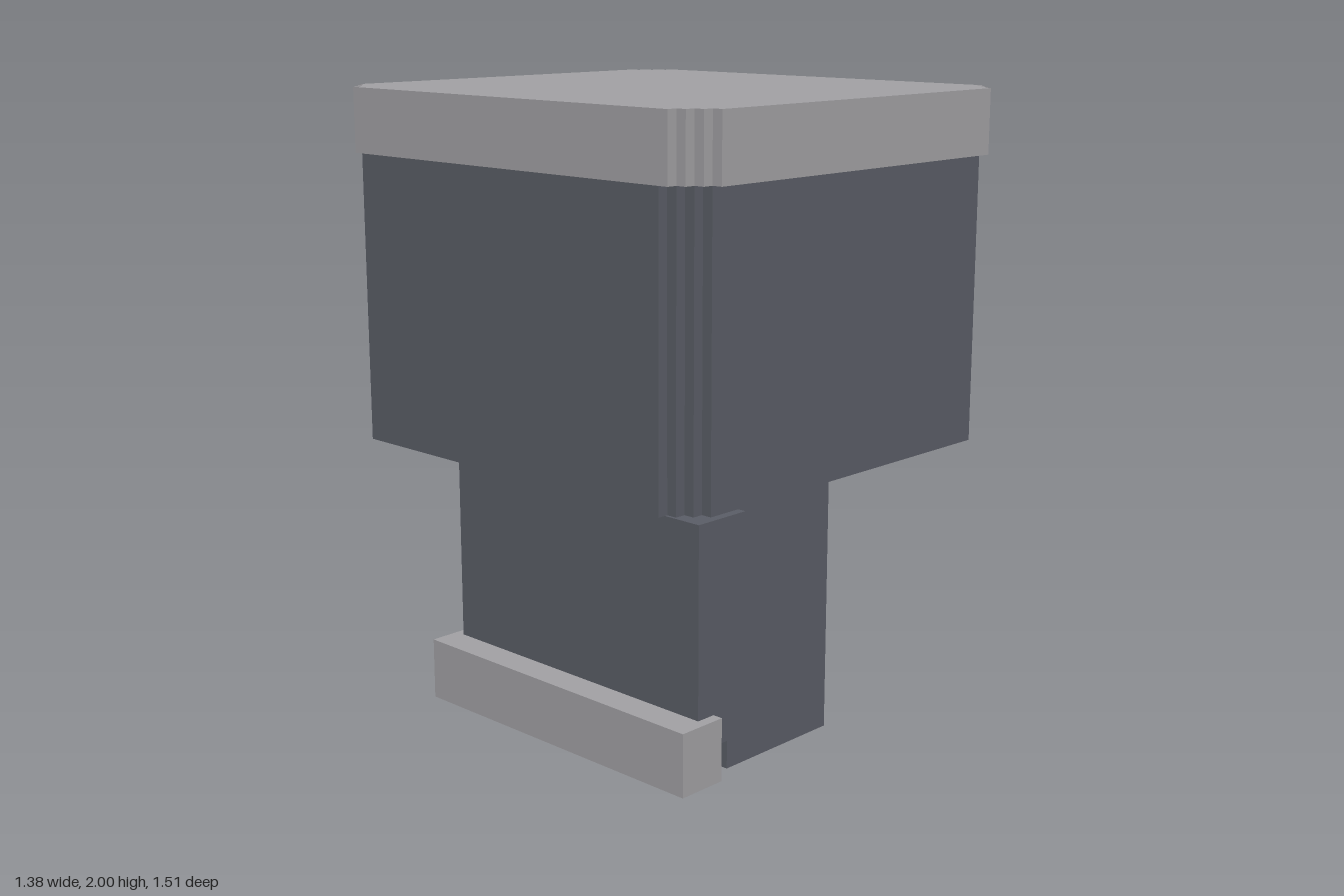
import * as THREE from 'three';

// All measurements are in modular steps; the model is 61 steps tall.
const U = 2 / 61;

export function createModel() {
  const model = new THREE.Group();
  const slate = new THREE.MeshStandardMaterial({ color: 0x5b5e67 });
  slate.name = 'slate grey';
  const stone = new THREE.MeshStandardMaterial({ color: 0xa3a2a5 });
  stone.name = 'stone grey';

  const add = (name, geometry, material) => {
    const mesh = new THREE.Mesh(geometry, material);
    mesh.name = name;
    model.add(mesh);
  };

  // Box from x and y ranges, centred on z
  const box = (x0, x1, y0, y1, halfZ) =>
    new THREE.BoxGeometry((x1 - x0) * U, (y1 - y0) * U, 2 * halfZ * U)
      .translate((x0 + x1) / 2 * U, (y0 + y1) / 2 * U, 0);

  // Upright block whose four corners are cut into three stair steps
  const steppedBlock = (halfX, halfZ, y0, y1) => {
    const corner = [];
    for (let i = 0; i <= 3; i++) {
      corner.push([halfX - i, halfZ - 3 + i]);
      if (i < 3) corner.push([halfX - i - 1, halfZ - 3 + i]);
    }
    const back = [...corner].reverse();
    const outline = [
      ...corner,
      ...back.map(([x, z]) => [-x, z]),
      ...corner.map(([x, z]) => [-x, -z]),
      ...back.map(([x, z]) => [x, -z]),
    ].map(([x, z]) => new THREE.Vector2(x * U, z * U));
    return new THREE.ExtrudeGeometry(new THREE.Shape(outline), { depth: (y1 - y0) * U, bevelEnabled: false })
      .rotateX(-Math.PI / 2)
      .translate(0, y0 * U, 0);
  };

  // Main housing and its overhanging cap
  add('housing', steppedBlock(21, 22, 28, 55), slate);
  add('cap', steppedBlock(21, 23, 55, 61), stone);

  // Supporting column with the side block and its rail
  add('column', box(-7, 7, 0, 28, 14), slate);
  add('sideBlock', box(-13, -7, 4, 25, 16), slate);
  add('sideRail', box(-16, -11, 1, 7, 17), stone);

  return model;
}
